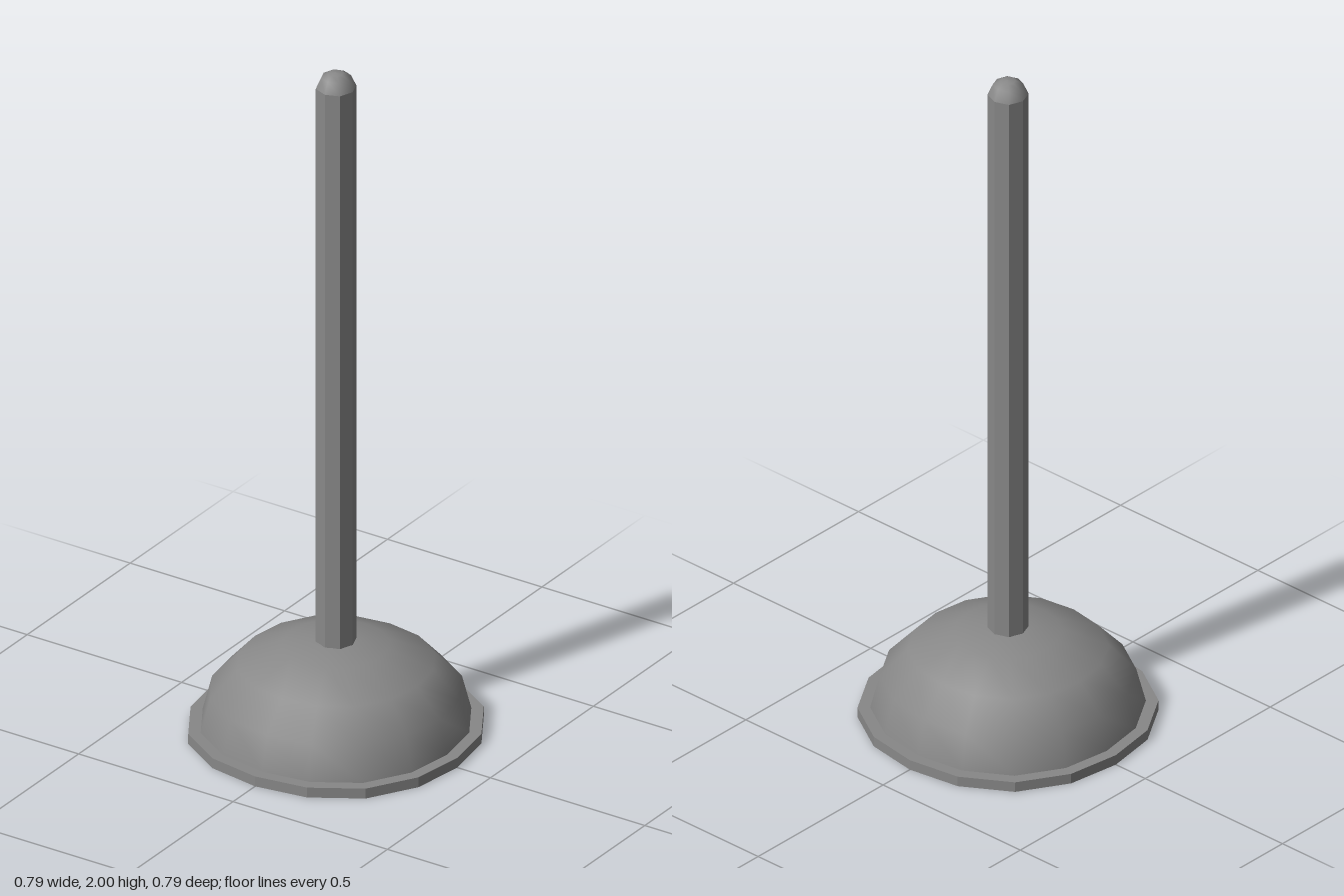
import * as THREE from 'three';

const grey = new THREE.MeshStandardMaterial({ color: 0x888888 });
grey.name = 'grey';

// Turned part whose rings bulge slightly on the diagonals
function turned(name, profile, sides, flat) {
  let geo = new THREE.LatheGeometry(profile.map(([r, y]) => new THREE.Vector2(r, y)), sides);
  const p = geo.attributes.position;
  for (let i = 0; i < p.count; i++) {
    const x = p.getX(i), z = p.getZ(i);
    const k = 1 + 0.033 * Math.sin(2 * Math.atan2(x, z)) ** 2;
    p.setXYZ(i, x * k, p.getY(i), z * k);
  }
  if (flat) {
    geo = geo.toNonIndexed();
    geo.computeVertexNormals();
  }
  const mesh = new THREE.Mesh(geo, grey);
  mesh.name = name;
  return mesh;
}

export function createModel() {
  const group = new THREE.Group();
  group.name = 'plunger';

  // Smooth rubber dome
  group.add(turned('cupDome', [
    [0.36, 0.03], [0.335, 0.13], [0.263, 0.21], [0.143, 0.262], [0.05, 0.275], [0, 0.275],
  ], 16, false));

  // Faceted hollow underside
  group.add(turned('cupInside', [
    [0, 0.18], [0.115, 0.165], [0.28, 0.06], [0.33, 0],
  ], 16, true));

  // Flat rim around the mouth
  group.add(turned('cupRim', [
    [0.33, 0], [0.393, 0], [0.393, 0.03], [0.355, 0.03],
  ], 16, true));

  // Eight-sided handle
  group.add(turned('handle', [[0.054, 0.22], [0.054, 1.955]], 8, true));

  // Rounded handle tip
  group.add(turned('handleTip', [
    [0.054, 1.955], [0.04, 1.987], [0.02, 1.998], [0, 2],
  ], 8, false));

  return group;
}
